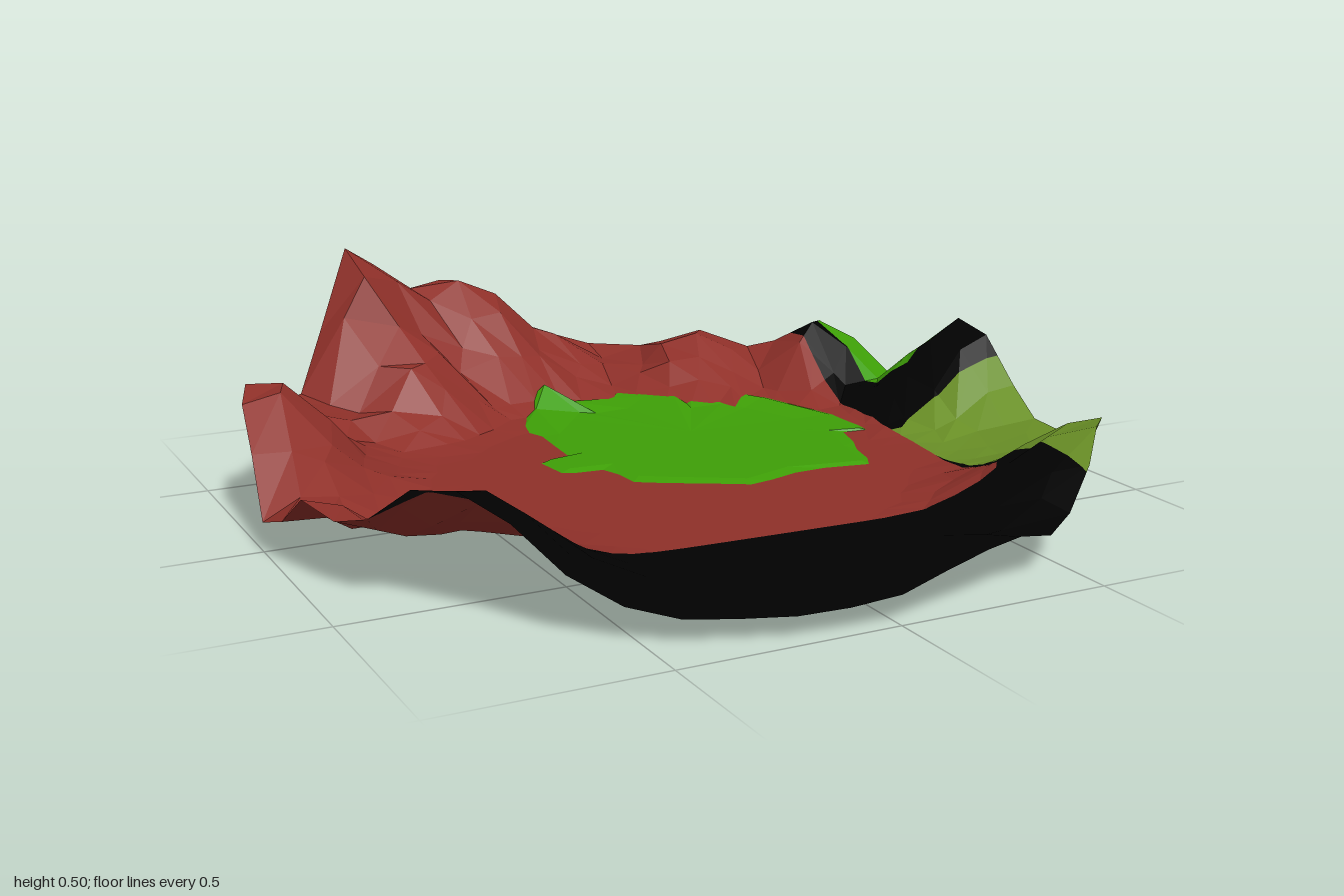
import * as THREE from 'three';

const mat = (name, color) => {
  const m = new THREE.MeshStandardMaterial({ color, side: THREE.DoubleSide, flatShading: true });
  m.name = name;
  return m;
};

// Hills: x, z, height above the basin, spread
const BASE = 0.056;
const HILLS = [
  [-0.49, -0.84, 0.48, 0.16], [-0.42, -0.68, 0.21, 0.17], [-0.18, -0.93, 0.32, 0.21],
  [-0.33, -0.91, 0.31, 0.13], [0.07, -0.92, 0.16, 0.16],
  [0.44, -0.74, 0.15, 0.18], [-0.93, -0.28, 0.27, 0.19], [-0.79, 0.59, 0.235, 0.23],
  [-0.98, 0.3, 0.13, 0.17], [0.74, 0.68, 0.2, 0.22], [0.98, -0.19, 0.24, 0.18],
  [0.74, -0.57, 0.195, 0.15], [0.28, 0.98, 0.07, 0.21], [-0.78, -0.6, 0.13, 0.19],
];
const hash = n => { const s = Math.sin(n * 127.1 + 31.7) * 43758.5453; return (s - Math.floor(s)) * 2 - 1; };

// Land height: flat basin ringed by hills
function height(x, z) {
  let h = 0;
  for (const [hx, hz, top, w] of HILLS)
    h = Math.max(h, top * Math.exp(-0.8 * (Math.hypot(x - hx, z - hz) / w) ** 2.2));
  const r = Math.hypot(x, z);
  const rim = z < 0.4 ? 0.035 * THREE.MathUtils.smoothstep(r, 0.7, 1) : 0;
  return BASE + Math.max(h * THREE.MathUtils.smoothstep(r, 0.5, 0.72), rim);
}

// Colour borders, positive inside
const inRed = p => Math.min(
  0.53 + 0.04 * p.x - 0.15 * Math.max(0, -p.x - 0.5) - p.z,
  0.655 - 0.035 * p.z - 0.15 * Math.max(0, p.z - 0.1) - p.x);
const inOlive = p => Math.min(p.z + 0.065, p.x - 0.645 + 0.045 * p.z);
const inGreen = p => Math.min(-0.25 - p.z, p.x - 0.76 - 0.11 * (p.z + 0.62));

// Cut a polygon along the zero line of f
function split(poly, f) {
  const pos = [], neg = [];
  poly.forEach((a, i) => {
    const b = poly[(i + 1) % poly.length], fa = f(a), fb = f(b);
    (fa >= 0 ? pos : neg).push(a);
    if ((fa >= 0) !== (fb >= 0)) {
      const m = a.clone().lerp(b, fa / (fa - fb));
      pos.push(m);
      neg.push(m);
    }
  });
  return [pos, neg];
}

function addPoly(list, poly) {
  for (let i = 1; i + 1 < poly.length; i++)
    for (const p of [poly[0], poly[i], poly[i + 1]]) list.push(p.x, p.y, p.z);
}

function meshOf(list, material, name) {
  const g = new THREE.BufferGeometry();
  g.setAttribute('position', new THREE.Float32BufferAttribute(list, 3));
  g.computeVertexNormals();
  const m = new THREE.Mesh(g, material);
  m.name = name;
  return m;
}

export function createModel() {
  const group = new THREE.Group();
  group.name = 'craterTerrain';
  const red = mat('red earth', 0x8f3029), black = mat('black rock', 0x010101);
  const olive = mat('olive grass', 0x698f26), green = mat('bright green', 0x3e9f07);

  // Terrain disc: jittered rings, with a 28-sided rim
  const N = 56, radii = [0, 0.2, 0.38, 0.5, 0.58, 0.66, 0.74, 0.82, 0.91, 1];
  const rings = radii.map((r0, i) => Array.from({ length: N }, (_, k) => {
    const loose = i > 3 && i < radii.length - 1 ? 1 : 0, id = i * N + k;
    const r = r0 * (k % 2 ? Math.cos(Math.PI / 28) : 1) + loose * 0.02 * hash(id);
    const t = (k + loose * 0.3 * hash(id + 700)) / N * Math.PI * 2;
    const x = r * Math.sin(t), z = r * Math.cos(t);
    const rough = z < 0.38 && x < 0.64 ? THREE.MathUtils.smoothstep(r, 0.62, 0.8) : 0;
    return new THREE.Vector3(x, Math.max(BASE, height(x, z) + rough * 0.02 * hash(id + 1500)), z);
  }));

  const parts = { red: [], black: [], olive: [], green: [] };
  for (let i = 0; i + 1 < radii.length; i++) {
    for (let k = 0; k < N; k++) {
      const n = (k + 1) % N;
      const a = rings[i][k], b = rings[i + 1][k], c = rings[i + 1][n], d = rings[i][n];
      for (const tri of i ? [[a, b, c], [a, c, d]] : [[a, b, c]]) {
        const [r, rest] = split(tri, inRed);
        const [o, rest2] = split(rest, inOlive);
        const [g, k2] = split(rest2, inGreen);
        addPoly(parts.red, r);
        addPoly(parts.olive, o);
        addPoly(parts.green, g);
        addPoly(parts.black, k2);
      }
    }
  }
  group.add(
    meshOf(parts.red, red, 'redBasinAndMountains'),
    meshOf(parts.black, black, 'blackRock'),
    meshOf(parts.olive, olive, 'oliveSlope'),
    meshOf(parts.green, green, 'greenSlope'));

  // Green patch: ragged top with a rounder flared skirt below the basin
  const outline = [
    [-0.05, -0.66], [-0.1, -0.6], [-0.12, -0.4], [-0.13, -0.22], [-0.23, -0.2], [-0.22, -0.11],
    [-0.11, -0.1], [-0.1, 0.02], [-0.04, 0.06], [0.12, 0.155], [0.25, 0.115], [0.44, 0.15],
    [0.47, 0.02], [0.51, -0.12], [0.59, -0.1], [0.59, -0.25], [0.5, -0.45], [0.44, -0.52],
    [0.33, -0.54], [0.32, -0.66], [0.22, -0.7], [0.13, -0.64], [0, -0.63],
  ];
  const cx = 0.19, cz = -0.27;
  // Ring of the patch: scaled outline, blended towards a circle by "round"
  const loop = (s, round, yOf) => outline.map(([x, z], i) => {
    const r = Math.hypot(x - cx, z - cz);
    const k = THREE.MathUtils.lerp(s, (0.53 + 0.012 * hash(i)) / r, round);
    const px = cx + (x - cx) * k, pz = cz + (z - cz) * k;
    return new THREE.Vector3(px, yOf(px, pz, i), pz);
  });
  const top = (x, z) => Math.min(height(x, z) + 0.006, 0.08);
  const lip = (x, z, i) => 0.006 + 0.004 * (1 + hash(i)) + 0.03 * THREE.MathUtils.smoothstep(x, 0.35, 0.7);
  const loops = [
    loop(0, 0, top), loop(0.75, 0, top),
    loop(1, 0, (x, z, i) => i === 0 ? 0.125 : top(x, z)),
    loop(1.12, 0.45, () => 0.047),
    loop(1.27, 0.85, lip),
  ];
  const patch = [];
  for (let i = 0; i + 1 < loops.length; i++) {
    outline.forEach((_, k) => {
      const n = (k + 1) % outline.length;
      addPoly(patch, [loops[i][k], loops[i + 1][k], loops[i + 1][n]]);
      if (i) addPoly(patch, [loops[i][k], loops[i + 1][n], loops[i][n]]);
    });
  }
  group.add(meshOf(patch, green, 'greenPatch'));
  return group;
}
